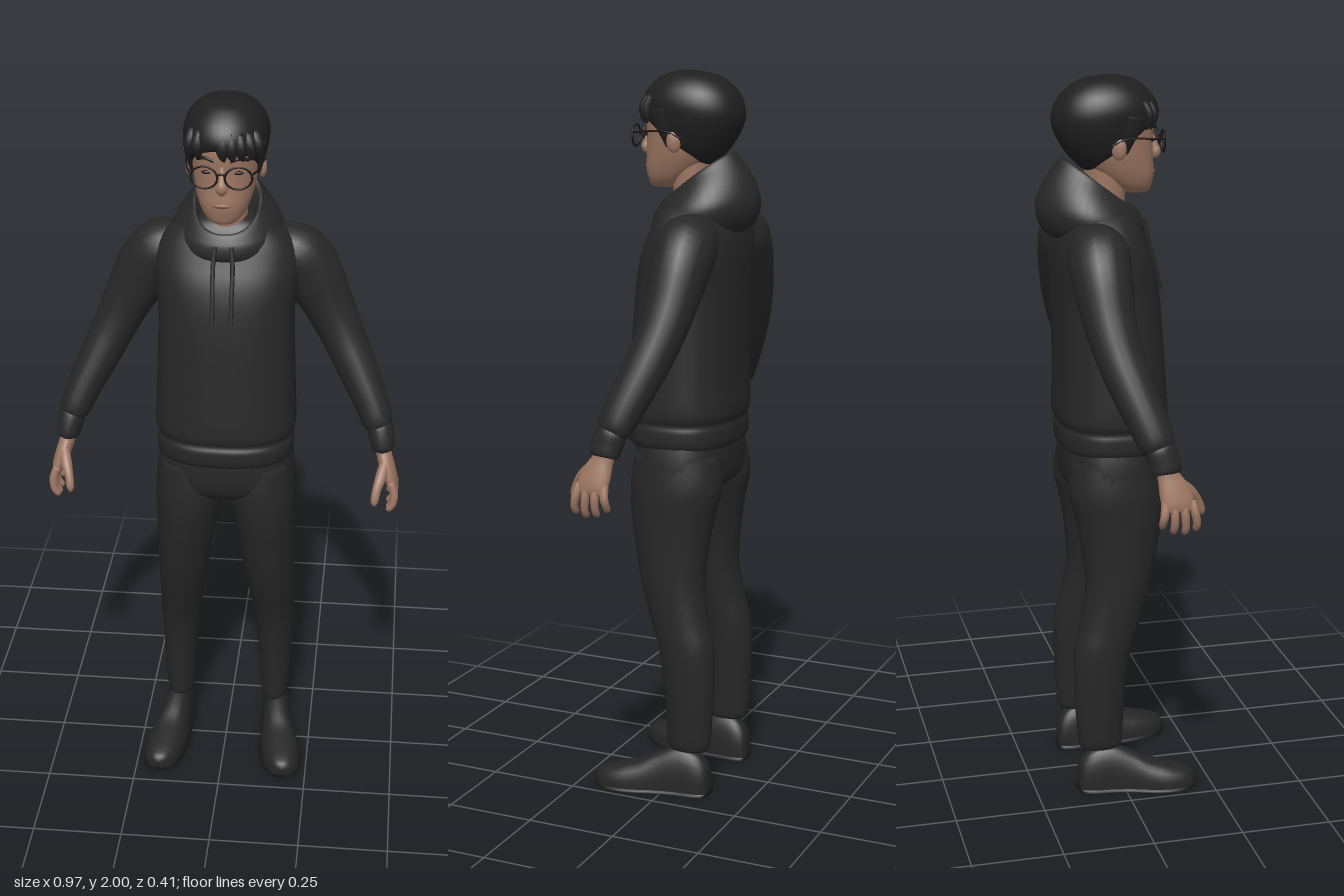
import * as THREE from 'three';

const mat = (name, color) => Object.assign(new THREE.MeshStandardMaterial({ color }), { name });

// Catmull-Rom refinement of a table of section rows
function refine(rows, steps) {
  const out = [], last = rows.length - 1;
  for (let i = 0; i < last; i++) {
    const [a, b, c, d] = [rows[Math.max(0, i - 1)], rows[i], rows[i + 1], rows[Math.min(last, i + 2)]];
    for (let s = 0; s < steps; s++) {
      const t = s / steps;
      out.push(b.map((_, k) => 0.5 * (2 * b[k] + (c[k] - a[k]) * t
        + (2 * a[k] - 5 * b[k] + 4 * c[k] - d[k]) * t * t
        + (3 * b[k] - a[k] - 3 * c[k] + d[k]) * t * t * t)));
    }
  }
  out.push(rows[last]);
  return out;
}

// Closed skin through rings of points, capped at both ends and facing outward
function skin(rings) {
  const n = rings[0].length, pos = [], idx = [];
  rings.forEach((r) => r.forEach((p) => pos.push(p.x, p.y, p.z)));
  for (let i = 0; i < rings.length - 1; i++) {
    for (let j = 0; j < n; j++) {
      const a = i * n + j, b = i * n + (j + 1) % n;
      idx.push(a, a + n, b, b, a + n, b + n);
    }
  }
  [0, rings.length - 1].forEach((i) => {
    const c = rings[i].reduce((s, p) => s.add(p), new THREE.Vector3()).divideScalar(n);
    const k = pos.length / 3;
    pos.push(c.x, c.y, c.z);
    for (let j = 0; j < n; j++) {
      const a = i * n + j, b = i * n + (j + 1) % n;
      if (i === 0) idx.push(k, a, b); else idx.push(k, b, a);
    }
  });
  const v = (i) => new THREE.Vector3().fromArray(pos, i * 3);
  let volume = 0;
  for (let i = 0; i < idx.length; i += 3) volume += v(idx[i]).dot(v(idx[i + 1]).cross(v(idx[i + 2])));
  if (volume < 0) idx.reverse();
  const g = new THREE.BufferGeometry();
  g.setAttribute('position', new THREE.Float32BufferAttribute(pos, 3));
  g.setIndex(idx);
  g.computeVertexNormals();
  return g;
}

const pow = (c, n) => Math.sign(c) * Math.abs(c) ** (2 / n);
const around = (n, f) => Array.from({ length: n }, (_, j) => f(j / n * Math.PI * 2));

// Level or tilted rings: [yFront, yBack, halfWidth, zFront, zBack, centreX]
function stack(rows, n = 2.3, steps = 4, pinch = 0) {
  return skin(refine(rows, steps).map(([yf, yb, rx, zf, zb, cx = 0]) => around(40, (a) => {
    const c = pow(Math.cos(a), n), s = pow(Math.sin(a), n);
    const narrow = 1 - pinch * Math.max(0, -c) ** 2;
    return new THREE.Vector3(cx + rx * s * narrow, (yf + yb) / 2 + (yf - yb) / 2 * c, (zf + zb) / 2 + (zf - zb) / 2 * c);
  })));
}

// Limb along a path: [x, y, z, radius across, radius front to back (same if left out)]
function limb(rows, steps = 4, sides = 20) {
  const r = refine(rows.map(([x, y, z, ra, rb = ra]) => [x, y, z, ra, rb]), steps);
  const at = (i) => new THREE.Vector3(...r[i].slice(0, 3));
  return skin(r.map((row, i) => {
    const t = at(Math.min(i + 1, r.length - 1)).sub(at(Math.max(i - 1, 0))).normalize();
    const u = new THREE.Vector3(0, 0, 1).cross(t).normalize(), w = t.clone().cross(u);
    return around(sides, (a) => at(i).addScaledVector(u, row[3] * Math.cos(a)).addScaledVector(w, row[4] * Math.sin(a)));
  }));
}

// Shoe sections along z: [z, centreX, halfWidth, height], flat underneath
function shoeForm(rows, base = 0) {
  return skin(refine(rows, 4).map(([z, cx, w, h]) => around(28, (a) => new THREE.Vector3(
    cx + w * pow(Math.cos(a), 2.4), base + Math.max(0, Math.sin(a)) ** 0.8 * (h - base), z))));
}

const ball = (x, y, z, rx, ry, rz) => new THREE.SphereGeometry(1, 20, 14).scale(rx, ry, rz).translate(x, y, z);
const tube = (pts, r) => new THREE.TubeGeometry(new THREE.CatmullRomCurve3(pts.map((p) => new THREE.Vector3(...p))), 16, r, 8);

function mirrored(g) {
  const m = g.clone().scale(-1, 1, 1);
  m.setIndex([...m.index.array].reverse());
  m.computeVertexNormals();
  return m;
}

export function createModel() {
  const model = new THREE.Group();
  const cloth = mat('hoodieBlack', 0x272727), trousers = mat('trouserBlack', 0x262626), hair = mat('hairBlack', 0x1f1f1f);
  const shoeMat = mat('shoeBlack', 0x252525), sole = mat('soleBlack', 0x171717), skinTone = mat('skin', 0x9c7662);
  const frame = mat('glassesFrame', 0x1c1613), lip = mat('lip', 0x84584c), eyeMat = mat('eyeDark', 0x1a1412);
  const add = (name, g, m) => {
    const mesh = new THREE.Mesh(g, m);
    mesh.name = name;
    model.add(mesh);
  };
  const pair = (name, g, m) => {
    add('left' + name, g, m);
    add('right' + name, mirrored(g), m);
  };
  const level = (rows) => rows.map(([y, ...rest]) => [y, y, ...rest]);

  // Hoodie body with a gathered waistband
  add('hoodieBody', stack(level([
    [0.985, 0.165, 0.12, -0.135], [1.0, 0.187, 0.145, -0.152], [1.04, 0.19, 0.15, -0.155], [1.06, 0.186, 0.143, -0.151],
    [1.09, 0.194, 0.15, -0.16], [1.2, 0.19, 0.142, -0.157], [1.4, 0.184, 0.126, -0.16], [1.5, 0.192, 0.108, -0.165],
    [1.57, 0.19, 0.08, -0.16], [1.62, 0.165, 0.058, -0.145], [1.66, 0.11, 0.035, -0.11], [1.68, 0.05, 0.01, -0.07],
  ]), 2.5), cloth);

  // Hood folded down around the neck
  add('hood', stack([
    [1.58, 1.62, 0.055, 0.025, -0.05], [1.61, 1.72, 0.068, 0.045, -0.09], [1.64, 1.785, 0.085, 0.056, -0.128],
    [1.645, 1.765, 0.1, 0.066, -0.155], [1.63, 1.71, 0.13, 0.076, -0.19], [1.61, 1.65, 0.148, 0.084, -0.206],
    [1.58, 1.59, 0.138, 0.083, -0.185], [1.55, 1.56, 0.09, 0.05, -0.13],
  ], 2.1, 4, 0.25), cloth);
  pair('Drawstring', tube([[0.022, 1.62, 0.083], [0.026, 1.56, 0.098], [0.025, 1.49, 0.118], [0.025, 1.42, 0.133]], 0.006), cloth);

  // Sleeves and cuffs
  pair('Sleeve', limb([
    [0.12, 1.59, -0.075, 0.05, 0.06], [0.17, 1.555, -0.075, 0.082, 0.083], [0.22, 1.5, -0.077, 0.084, 0.08], [0.275, 1.4, -0.07, 0.068, 0.07],
    [0.315, 1.32, -0.055, 0.06, 0.064], [0.355, 1.24, -0.03, 0.055, 0.06], [0.395, 1.16, 0.0, 0.048, 0.054],
    [0.418, 1.105, 0.02, 0.043, 0.049], [0.426, 1.085, 0.026, 0.033, 0.04],
  ]), cloth);
  pair('Cuff', limb([
    [0.422, 1.098, 0.023, 0.03, 0.036], [0.426, 1.087, 0.027, 0.036, 0.042], [0.432, 1.06, 0.036, 0.035, 0.043],
    [0.438, 1.033, 0.043, 0.032, 0.041], [0.439, 1.028, 0.044, 0.024, 0.032],
  ]), cloth);

  // Hands
  pair('Palm', limb([
    [0.432, 1.06, 0.036, 0.02, 0.026], [0.439, 1.02, 0.046, 0.021, 0.03], [0.45, 0.985, 0.058, 0.021, 0.041],
    [0.462, 0.95, 0.067, 0.018, 0.044], [0.467, 0.93, 0.069, 0.012, 0.04],
  ]), skinTone);
  [0, 1, 2, 3].forEach((i) => {
    const z = 0.032 + i * 0.024, low = [0.886, 0.87, 0.866, 0.874][i], lean = (i - 1) * 0.003;
    pair('Finger' + (i + 1), limb([
      [0.461, 0.955, z, 0.011], [0.472, 0.925, z + lean, 0.0115], [0.47, low + 0.022, z + 2 * lean, 0.0105],
      [0.459, low + 0.005, z + 2 * lean, 0.009], [0.454, low, z + 2 * lean, 0.003],
    ], 3, 10), skinTone);
  });
  pair('Thumb', limb([
    [0.446, 1.005, 0.07, 0.014], [0.436, 0.975, 0.103, 0.016], [0.425, 0.945, 0.128, 0.0125],
    [0.42, 0.915, 0.141, 0.011], [0.419, 0.902, 0.144, 0.004],
  ], 3, 10), skinTone);

  // Trousers
  add('trouserSeat', stack(level([
    [1.03, 0.175, 0.12, -0.14], [0.96, 0.19, 0.125, -0.145], [0.9, 0.188, 0.118, -0.14], [0.87, 0.14, 0.09, -0.115], [0.855, 0.08, 0.05, -0.07],
  ]), 2.5), trousers);
  pair('TrouserLeg', stack(level([
    [0.97, 0.09, 0.11, -0.13, 0.098], [0.88, 0.098, 0.12, -0.142, 0.1], [0.8, 0.09, 0.117, -0.124, 0.107],
    [0.7, 0.08, 0.1, -0.108, 0.116], [0.6, 0.072, 0.08, -0.102, 0.124], [0.5, 0.063, 0.05, -0.118, 0.132],
    [0.42, 0.058, 0.024, -0.137, 0.138], [0.3, 0.05, 0.006, -0.138, 0.141], [0.2, 0.044, 0.0, -0.133, 0.142],
    [0.14, 0.04, -0.002, -0.127, 0.141], [0.125, 0.03, -0.012, -0.115, 0.141],
  ]), 2.1), trousers);

  // Shoes with dark soles
  const shoe = [
    [-0.13, 0.144, 0.016, 0.05], [-0.122, 0.144, 0.033, 0.09], [-0.09, 0.146, 0.042, 0.122], [-0.035, 0.15, 0.044, 0.132],
    [0.02, 0.157, 0.049, 0.112], [0.07, 0.166, 0.056, 0.086], [0.12, 0.174, 0.057, 0.071], [0.165, 0.179, 0.048, 0.058],
    [0.193, 0.181, 0.03, 0.046], [0.203, 0.182, 0.01, 0.03],
  ];
  pair('Shoe', shoeForm(shoe, 0.01), shoeMat);
  pair('Sole', shoeForm(shoe.map(([z, x, w]) => [z, x, w + 0.002, 0.016])), sole);

  // Neck, head and ears
  add('neck', stack(level([[1.56, 0.07, 0.03, -0.08], [1.66, 0.056, 0.037, -0.07], [1.78, 0.058, 0.045, -0.075]]), 2), skinTone);
  add('head', stack(level([
    [1.686, 0.018, 0.092, 0.045], [1.691, 0.036, 0.104, 0.02], [1.71, 0.055, 0.111, -0.01], [1.74, 0.069, 0.117, -0.05],
    [1.78, 0.08, 0.114, -0.085], [1.83, 0.087, 0.113, -0.11], [1.88, 0.091, 0.115, -0.13], [1.93, 0.085, 0.1, -0.12], [1.97, 0.045, 0.05, -0.07],
  ]), 2.2), skinTone);
  pair('Ear', ball(0, 0, 0, 0.011, 0.03, 0.02).rotateY(0.35).translate(0.094, 1.815, 0.0), skinTone);
  add('nose', limb([[0, 1.845, 0.109, 0.007], [0, 1.815, 0.119, 0.01], [0, 1.793, 0.124, 0.016, 0.014], [0, 1.78, 0.116, 0.01]]), skinTone);
  add('mouth', ball(0, 1.743, 0.115, 0.024, 0.006, 0.005), lip);
  pair('Eye', ball(0.04, 1.83, 0.103, 0.014, 0.005, 0.006), eyeMat);
  pair('Eyebrow', tube([[0.02, 1.862, 0.113], [0.045, 1.868, 0.105], [0.066, 1.86, 0.087]], 0.0045), hair);

  // Hair cap, fringe tufts around a parting, and sideburns
  add('hairCap', stack([
    [1.89, 1.745, 0.06, 0.09, -0.05], [1.89, 1.755, 0.09, 0.118, -0.08], [1.9, 1.8, 0.103, 0.127, -0.125],
    [1.915, 1.86, 0.111, 0.127, -0.157], [1.937, 1.905, 0.11, 0.118, -0.158], [1.962, 1.948, 0.096, 0.098, -0.137],
    [1.986, 1.982, 0.066, 0.066, -0.095], [1.998, 1.996, 0.028, 0.025, -0.045], [2.0, 2.0, 0.004, 0.0, -0.012],
  ], 2.1), hair);
  [-0.085, -0.063, 0.0, 0.022, 0.045, 0.067, 0.086].forEach((x, i) => {
    const z = 0.118 * Math.sqrt(1 - (x / 0.115) ** 2);
    add('fringeTuft' + (i + 1), limb([
      [x * 0.85, 1.93, z - 0.01, 0.018, 0.012], [x, 1.9, z + 0.002, 0.017, 0.012],
      [x * 1.04 + 0.003, 1.875, z, 0.011, 0.008], [x * 1.05 + 0.006, 1.862, z - 0.002, 0.002],
    ], 3, 10), hair);
  });
  pair('Sideburn', limb([[0.094, 1.9, 0.03, 0.014, 0.04], [0.094, 1.855, 0.024, 0.01, 0.03], [0.089, 1.82, 0.024, 0.006, 0.012], [0.086, 1.8, 0.024, 0.002]]), hair);

  // Glasses
  pair('GlassesRim', new THREE.TorusGeometry(0.033, 0.0028, 8, 32).scale(1.05, 0.88, 1).rotateY(0.12).translate(0.044, 1.826, 0.133), frame);
  add('glassesBridge', tube([[-0.011, 1.832, 0.136], [0, 1.837, 0.138], [0.011, 1.832, 0.136]], 0.0028), frame);
  pair('GlassesTemple', tube([[0.078, 1.835, 0.129], [0.09, 1.838, 0.1], [0.101, 1.84, 0.02], [0.1, 1.825, -0.02]], 0.0026), frame);
  return model;
}
